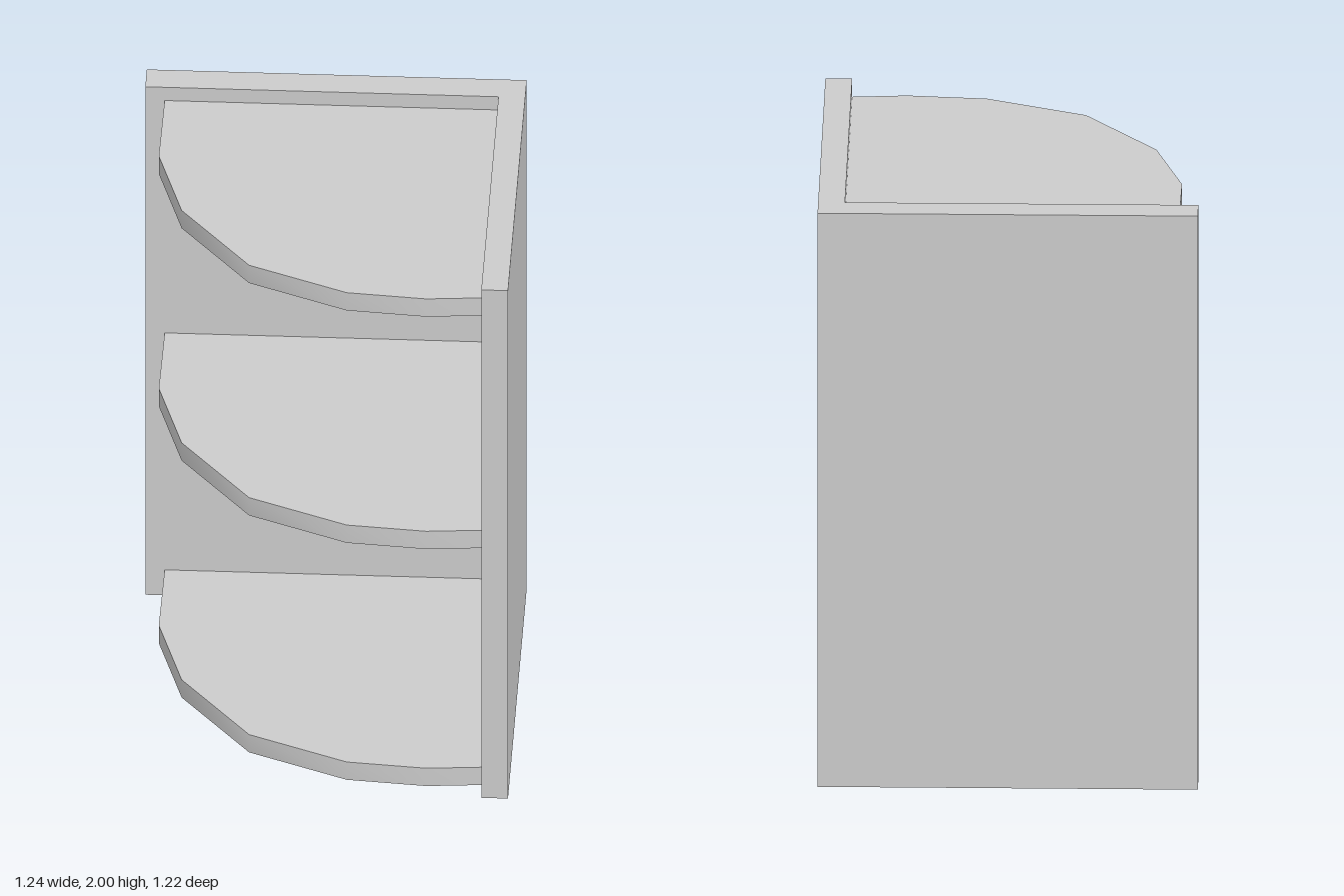
import * as THREE from 'three';
import { toCreasedNormals } from 'three/addons/utils/BufferGeometryUtils.js';

// Extrude a plan outline of [x, z] points upwards from y = 0
function extrudePlan(points, height) {
  const shape = new THREE.Shape(points.map(([x, z]) => new THREE.Vector2(x, -z)));
  const geometry = new THREE.ExtrudeGeometry(shape, { depth: height, bevelEnabled: false });
  return geometry.rotateX(-Math.PI / 2);
}

export function createModel() {
  const group = new THREE.Group();
  const material = new THREE.MeshStandardMaterial({ color: 0xcccccc });

  // L-shaped corner: back panel and left side panel in one piece
  const panels = new THREE.Mesh(extrudePlan([
    [-0.62, -0.61], [-0.62, -0.51], [0.53, -0.51],
    [0.53, 0.605], [0.617, 0.605], [0.617, -0.61],
  ], 2), material);
  panels.name = 'cornerPanels';
  group.add(panels);

  // Shelves with a faceted, rounded front edge, smooth-shaded around the rim
  const shelfGeometry = toCreasedNormals(extrudePlan([
    [0.53, -0.51], [-0.557, -0.51], [-0.56, -0.19], [-0.47, 0.12],
    [-0.235, 0.425], [0.09, 0.567], [0.35, 0.59], [0.53, 0.575],
  ], 0.07), 0.8);

  ['bottomShelf', 'middleShelf', 'topShelf'].forEach((name, i) => {
    const shelf = new THREE.Mesh(shelfGeometry, material);
    shelf.name = name;
    shelf.position.y = [0.03, 0.963, 1.878][i];
    group.add(shelf);
  });

  return group;
}
